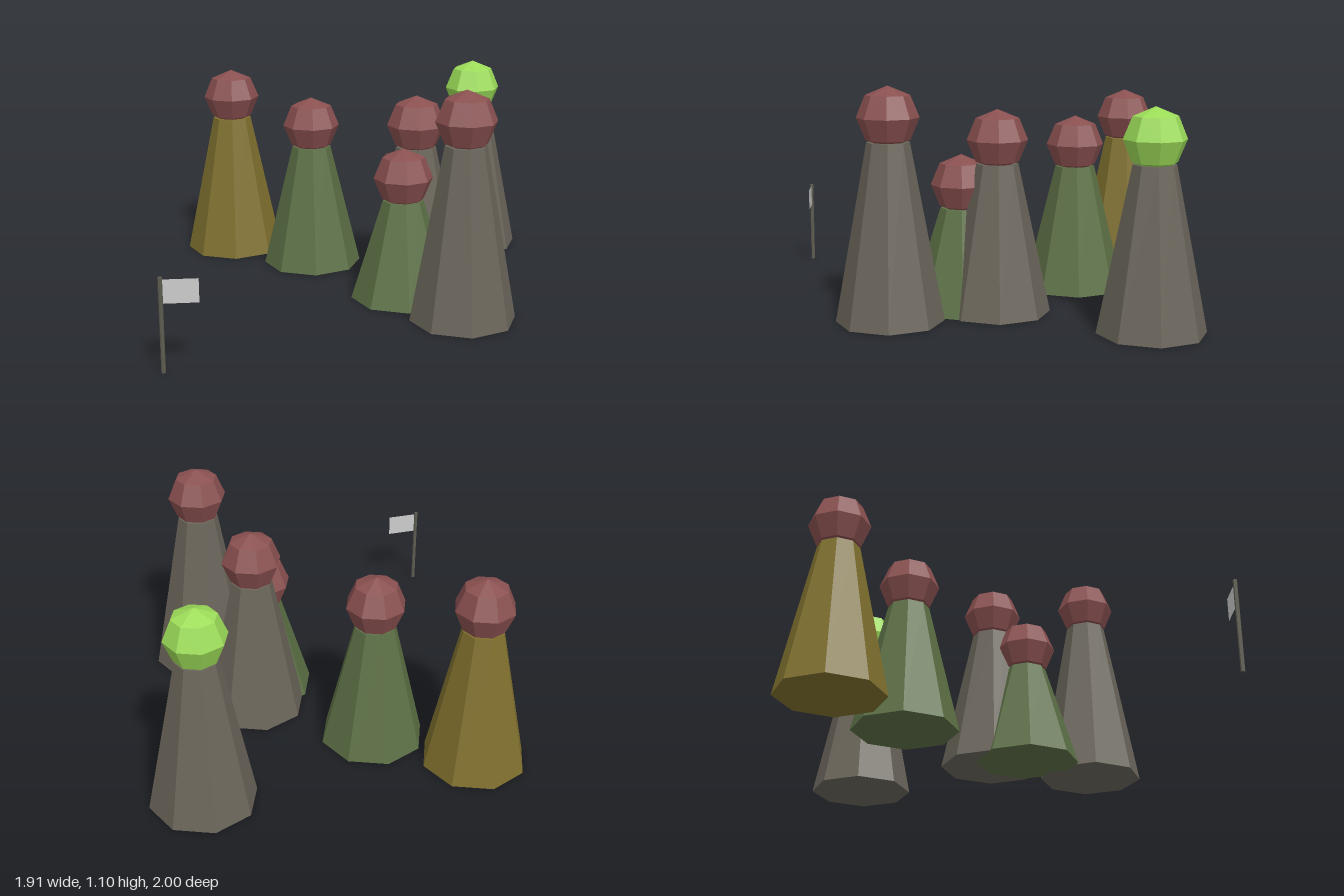
import * as THREE from 'three';

function material(name, color, extra = {}) {
  const m = new THREE.MeshStandardMaterial({ color, flatShading: true, ...extra });
  m.name = name;
  return m;
}

export function createModel() {
  const group = new THREE.Group();
  group.name = 'pegsAndFlag';

  const stone = material('stone grey', 0x6a655a);
  const olive = material('moss green', 0x5c7045);
  const ochre = material('ochre', 0x80702e);
  const brick = material('dusty red', 0x8a5050);
  const lime = material('lime green', 0x9cdc58);
  const poleGrey = material('pole grey', 0x5c5c50);
  const cloth = material('pale cloth', 0xcccccc, { side: THREE.DoubleSide });

  function add(parent, name, geometry, mat, x, y, z) {
    const mesh = new THREE.Mesh(geometry, mat);
    mesh.name = name;
    mesh.position.set(x, y, z);
    parent.add(mesh);
  }

  // Pegs: tapered eight-sided body with a faceted ball head
  const headGeometry = new THREE.SphereGeometry(0.146, 8, 4);
  const pegs = [
    // x, z, body height, body colour, head colour
    [-0.615, -0.745, 0.733, ochre, brick],
    [-0.205, -0.43, 0.635, olive, brick],
    [0.287, -0.005, 0.72, stone, brick],
    [0.2, 0.165, 0.495, olive, brick],
    [0.44, 0.505, 0.845, stone, brick],
    [0.7, -0.683, 0.77, stone, lime],
  ];
  pegs.forEach(([x, z, h, bodyMat, headMat], i) => {
    const peg = new THREE.Group();
    peg.name = `peg${i + 1}`;
    peg.position.set(x, 0, z);
    add(peg, 'body', new THREE.CylinderGeometry(0.1, 0.255, h, 8), bodyMat, 0, h / 2, 0);
    add(peg, 'head', headGeometry, headMat, 0, h + 0.113, 0);
    group.add(peg);
  });

  // Small flag standing apart
  const flag = new THREE.Group();
  flag.name = 'flag';
  flag.position.set(-0.945, 0, 0.99);
  add(flag, 'pole', new THREE.CylinderGeometry(0.01, 0.01, 0.43, 8), poleGrey, 0, 0.215, 0);
  add(flag, 'cloth', new THREE.PlaneGeometry(0.16, 0.108), cloth, 0.082, 0.366, 0);
  group.add(flag);

  return group;
}
